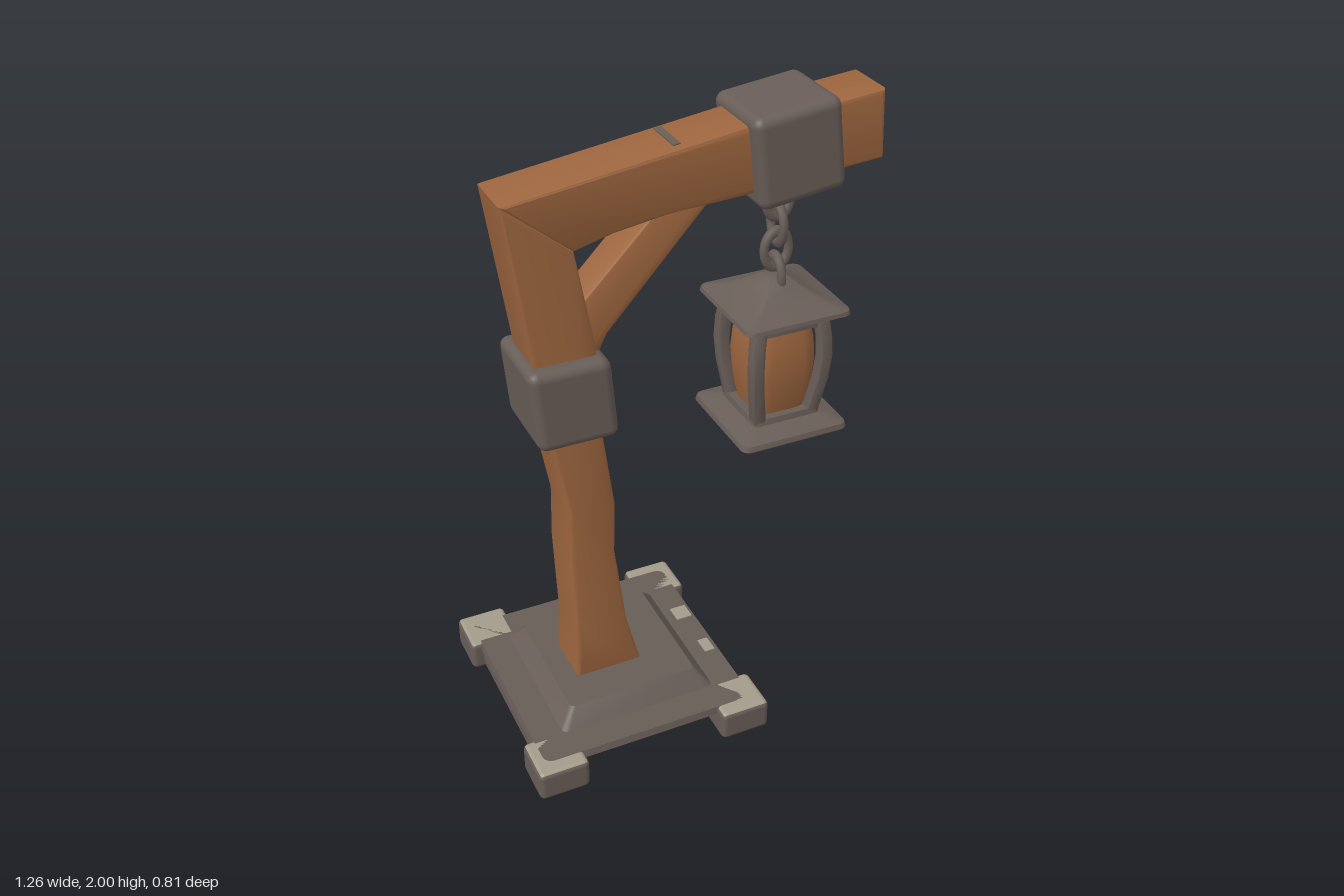
import * as THREE from 'three';
import { toCreasedNormals } from 'three/addons/utils/BufferGeometryUtils.js';
import { RoundedBoxGeometry } from 'three/addons/geometries/RoundedBoxGeometry.js';

const material = (name, color) => {
  const m = new THREE.MeshStandardMaterial({ color });
  m.name = name;
  return m;
};

// Skin through rounded square rings, each [y, half width, x offset, z offset].
function squareLoft(rings, round = 0.15, crease = 0.6) {
  const pos = [], index = [], n = 16;
  for (const [y, h, ox = 0, oz = 0] of rings) {
    const r = h * round;
    for (let c = 0; c < 4; c++) {
      const mid = Math.PI / 4 + c * Math.PI / 2;
      for (let k = 0; k < 4; k++) {
        const a = c * Math.PI / 2 + k * Math.PI / 6;
        pos.push(
          ox + Math.sign(Math.cos(mid)) * (h - r) + r * Math.cos(a), y,
          oz + Math.sign(Math.sin(mid)) * (h - r) + r * Math.sin(a));
      }
    }
  }
  for (let j = 0; j < rings.length - 1; j++) {
    for (let i = 0; i < n; i++) {
      const a = j * n + i, b = j * n + (i + 1) % n;
      index.push(a, a + n, b, b, a + n, b + n);
    }
  }
  const g = new THREE.BufferGeometry();
  g.setAttribute('position', new THREE.Float32BufferAttribute(pos, 3));
  g.setIndex(index);
  return toCreasedNormals(g, crease);
}

// Timber cut from a side outline, centred on z, with eased edges.
function timber(points, width, bevel = 0.012) {
  const shape = new THREE.Shape(points.map(([x, y]) => new THREE.Vector2(x, y)));
  const g = new THREE.ExtrudeGeometry(shape, {
    depth: width - 2 * bevel, bevelThickness: bevel, bevelSize: bevel,
    bevelOffset: -bevel, bevelSegments: 2,
  });
  g.translate(0, 0, -width / 2 + bevel);
  return toCreasedNormals(g, 0.5);
}

export function createModel() {
  const model = new THREE.Group();
  model.name = 'lanternPost';
  const wood = material('wood', 0x9c653e);
  const stone = material('dark stone', 0x685d57);
  const pale = material('pale stone', 0xa39b8a);

  const add = (name, geometry, mat, x = 0, y = 0, z = 0, parent = model) => {
    const mesh = new THREE.Mesh(geometry, mat);
    mesh.name = name;
    mesh.position.set(x, y, z);
    parent.add(mesh);
    return mesh;
  };
  const Z = -0.005, BX = -0.24;

  // Hollow stepped base with an opening for the post
  add('base', squareLoft([
    [0.08, 0.36], [0.105, 0.355], [0.105, 0.26], [0.16, 0.215], [0.16, 0.08],
    [0.125, 0.08], [0.125, 0.19], [0.08, 0.25], [0.08, 0.36],
  ], 0.08, 0.4), stone, BX, 0, Z);
  for (const s of [-1, 1]) {
    add('baseSkirt', new THREE.BoxGeometry(0.015, 0.07, 0.5), stone, BX + s * 0.345, 0.055, Z);
  }

  // Corner feet with pale tops
  for (const sx of [-1, 1]) {
    for (const sz of [-1, 1]) {
      add('foot', new RoundedBoxGeometry(0.165, 0.105, 0.16, 3, 0.018),
        [stone, stone, pale, stone, stone, stone], BX + sx * 0.31, 0.0525, Z + sz * 0.325);
    }
  }

  // Worn patches on the base edge and beam
  add('wornPatch', new THREE.BoxGeometry(0.055, 0.006, 0.06), pale, 0.078, 0.105, -0.115);
  add('wornPatch', new THREE.BoxGeometry(0.035, 0.006, 0.06), pale, 0.085, 0.105, 0.07);
  add('beamScuff', new THREE.BoxGeometry(0.022, 0.008, 0.13), stone, -0.018, 1.912, -0.01)
    .rotation.z = 0.14;

  // Crooked post and the beam mitred onto it
  add('post', timber([
    [-0.385, 0.12], [-0.155, 0.12], [-0.165, 0.17], [-0.205, 0.33], [-0.24, 0.62],
    [-0.235, 0.8], [-0.27, 1.08], [-0.28, 1.36], [-0.335, 1.67], [-0.54, 1.84],
    [-0.47, 1.34], [-0.43, 1.08], [-0.38, 0.8], [-0.385, 0.62], [-0.375, 0.35],
  ], 0.185), wood, 0, 0, Z);
  add('beam', timber([
    [-0.54, 1.84], [-0.335, 1.67], [-0.22, 1.7], [-0.05, 1.725], [0.18, 1.735],
    [0.625, 1.77], [0.615, 1.98], [0.18, 1.94],
  ], 0.18), wood, 0, 0, Z);
  add('brace', timber([
    [-0.33, 1.3], [-0.26, 1.33], [-0.235, 1.38], [0.08, 1.725], [0.06, 1.76],
    [-0.06, 1.75], [-0.315, 1.49],
  ], 0.13), wood, 0, 0, Z);

  // Stone bands around the post and beam
  const collar = new RoundedBoxGeometry(0.25, 0.265, 0.275, 3, 0.03);
  collar.applyMatrix4(new THREE.Matrix4().set(
    1, -0.085, 0, 0, 0, 1, 0, 0, 0, 0, 1, 0, 0, 0, 0, 1));
  add('postBand', collar, stone, -0.365, 1.207, Z);
  add('beamBand', new RoundedBoxGeometry(0.275, 0.28, 0.27, 3, 0.03), stone, 0.332, 1.846, Z)
    .rotation.z = 0.12;

  // Hanging lantern
  const lantern = new THREE.Group();
  lantern.name = 'lantern';
  lantern.position.set(0.333, 0, Z);
  model.add(lantern);
  const part = (name, geometry, mat = stone, y = 0) => add(name, geometry, mat, 0, y, 0, lantern);

  // Chain of links turned a quarter each
  for (let i = 0; i < 4; i++) {
    const link = part('chainLink', new THREE.TorusGeometry(0.041, 0.014, 8, 20), stone, 1.665 - i * 0.082);
    link.scale.y = 1.4;
    link.rotation.y = i % 2 * Math.PI / 2;
  }

  part('lanternRoof', squareLoft([
    [1.3, 0], [1.3, 0.135], [1.325, 0.175], [1.338, 0.172], [1.355, 0.125],
    [1.38, 0.08], [1.4, 0.052], [1.415, 0.032], [1.415, 0],
  ], 0.16));
  part('lanternTopRail', squareLoft([[1.275, 0], [1.275, 0.118], [1.305, 0.118], [1.305, 0]]));
  part('lanternFloor', squareLoft([
    [0.92, 0], [0.92, 0.175], [0.928, 0.182], [0.945, 0.178], [0.955, 0.15],
    [0.965, 0.115], [0.985, 0.112], [0.985, 0],
  ], 0.14));
  part('lanternGlass', squareLoft([
    [0.97, 0.085], [1.02, 0.096], [1.08, 0.105], [1.15, 0.11], [1.22, 0.105], [1.29, 0.09],
  ], 0.5, 1), wood);

  // Bowed corner bars
  for (const sx of [-1, 1]) {
    for (const sz of [-1, 1]) {
      const bar = [[0.95, 0.088], [1.02, 0.099], [1.09, 0.11], [1.17, 0.116], [1.24, 0.113], [1.31, 0.103]]
        .map(([y, d]) => [y, 0.021, sx * d, sz * d]);
      part('cornerBar', squareLoft(bar, 0.4, 0.8));
    }
  }
  return model;
}
